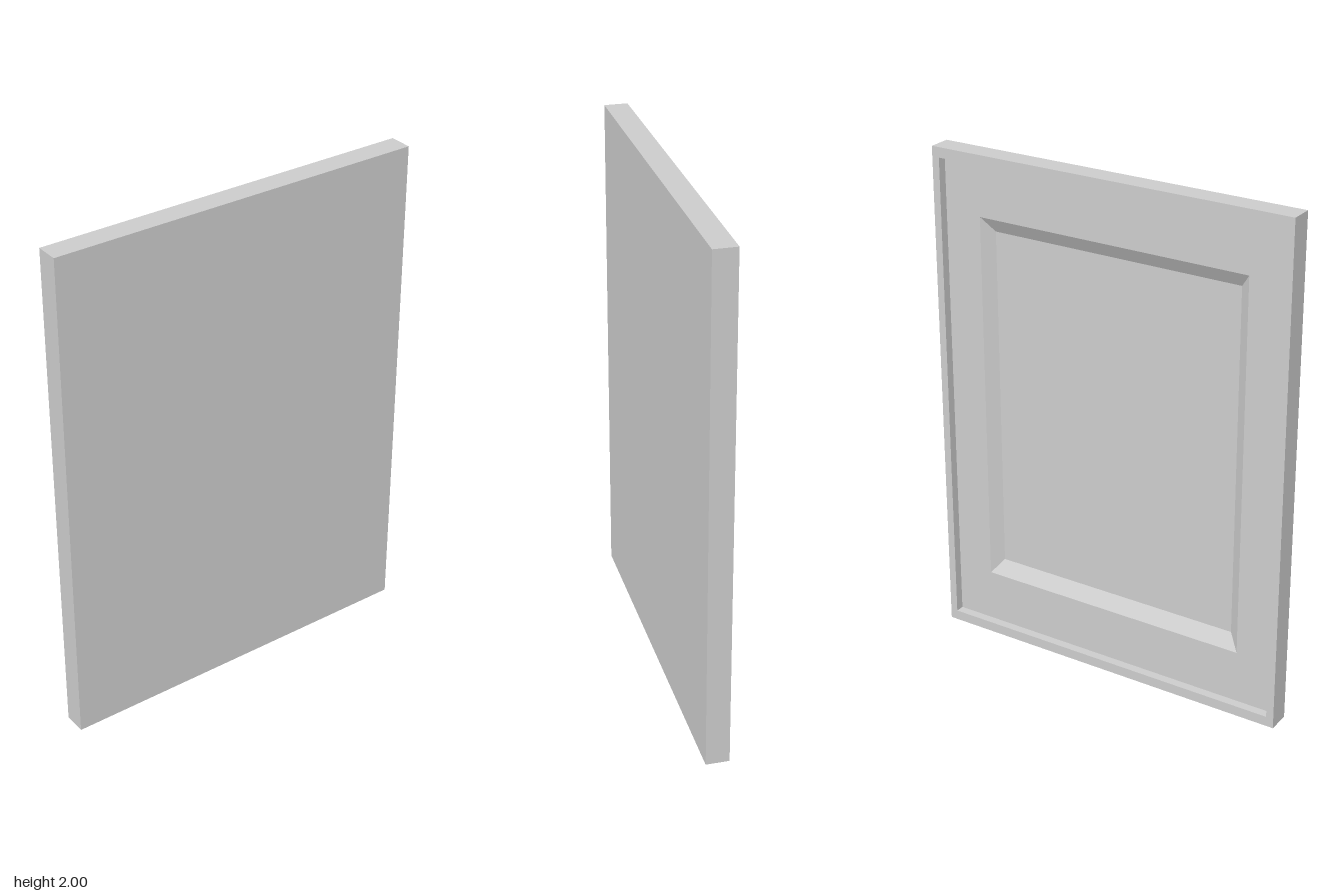
import * as THREE from 'three';

const material = new THREE.MeshStandardMaterial({ color: 0xcccccc, flatShading: true });
const CENTRE_Y = 1;

// Corners of a rectangle, anticlockwise as seen from +z
const ring = (halfW, halfH, z) =>
  [[-1, -1], [1, -1], [1, 1], [-1, 1]].map(([sx, sy]) => [sx * halfW, CENTRE_Y + sy * halfH, z]);

// Joins rectangular rings, running from the front outwards and round to the back;
// the first or last ring can be closed with a flat face
function loft(name, rings, { capFirst = false, capLast = false } = {}) {
  const pos = [];
  const quad = (a, b, c, d) => pos.push(...a, ...b, ...c, ...a, ...c, ...d);
  for (let r = 0; r < rings.length - 1; r++) {
    const [p, q] = [rings[r], rings[r + 1]];
    for (let i = 0; i < 4; i++) {
      const j = (i + 1) % 4;
      quad(p[i], q[i], q[j], p[j]);
    }
  }
  if (capFirst) quad(...rings[0]);
  if (capLast) quad(...[...rings[rings.length - 1]].reverse());

  const geometry = new THREE.BufferGeometry();
  geometry.setAttribute('position', new THREE.Float32BufferAttribute(pos, 3));
  geometry.computeVertexNormals();
  const mesh = new THREE.Mesh(geometry, material);
  mesh.name = name;
  return mesh;
}

export function createModel() {
  const group = new THREE.Group();
  group.name = 'recessedPanel';

  const frontZ = 0.045, backZ = -0.045, ledgeZ = -0.01, floorZ = 0.025;
  const frontEdge = ring(0.745, 1, frontZ);
  const backEdge = ring(0.745, 1, backZ);
  const rimInner = ring(0.715, 0.96, backZ);
  const ledgeOuter = ring(0.715, 0.96, ledgeZ);
  const ledgeInner = ring(0.563, 0.75, ledgeZ);
  const floorEdge = ring(0.518, 0.692, floorZ);

  group.add(
    // Plain front face and the four outer edges
    loft('frontAndSides', [frontEdge, backEdge], { capFirst: true }),
    // Narrow raised border round the back, with its inner wall
    loft('backRim', [backEdge, rimInner, ledgeOuter]),
    // Wide flat border inside the rim
    loft('recessedBorder', [ledgeOuter, ledgeInner]),
    // Sunken centre with bevelled walls
    loft('centrePocket', [ledgeInner, floorEdge], { capLast: true }),
  );
  return group;
}
